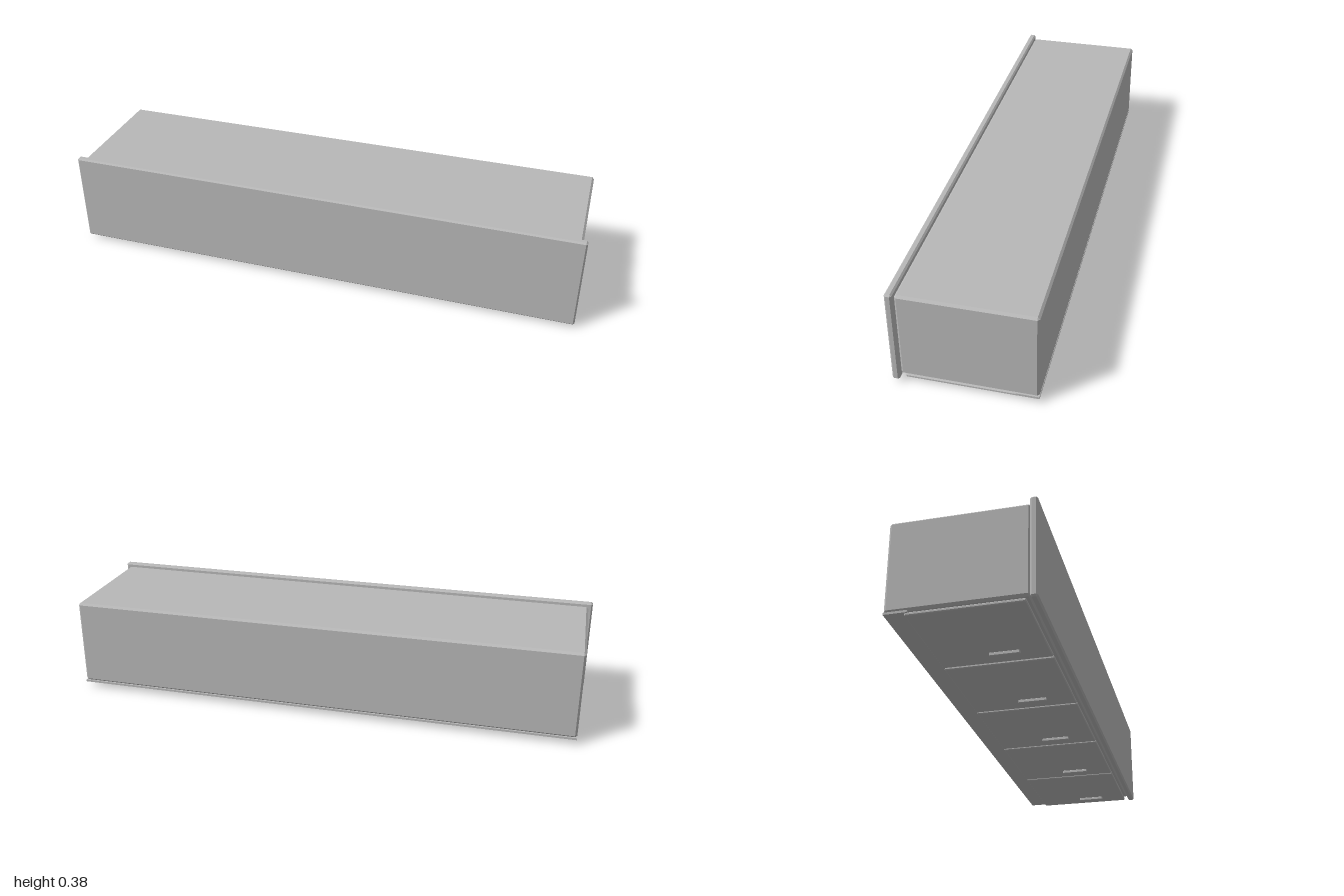
import * as THREE from 'three';
import { ConvexGeometry } from 'three/addons/geometries/ConvexGeometry.js';

const grey = new THREE.MeshStandardMaterial({ color: 0xb8b8b8 });
grey.name = 'grey';

// Box with every edge chamfered by b, given as [min, max] ranges
function chamferBox(name, [x0, x1], [y0, y1], [z0, z1], b) {
  const half = [(x1 - x0) / 2, (y1 - y0) / 2, (z1 - z0) / 2];
  const points = [];
  for (const sx of [-1, 1]) for (const sy of [-1, 1]) for (const sz of [-1, 1]) {
    for (let full = 0; full < 3; full++) {
      const [x, y, z] = half.map((h, axis) => (axis === full ? h : h - b));
      points.push(new THREE.Vector3(sx * x, sy * y, sz * z));
    }
  }
  const mesh = new THREE.Mesh(new ConvexGeometry(points), grey);
  mesh.name = name;
  mesh.position.set((x0 + x1) / 2, (y0 + y1) / 2, (z0 + z1) / 2);
  return mesh;
}

export function createModel() {
  const group = new THREE.Group();
  group.name = 'cabinet';

  // Long cabinet body lying on its door side, with the counter slab facing front
  group.add(chamferBox('body', [-0.984, 0.984], [0.03, 0.367], [-0.25, 0.225], 0.008));
  group.add(chamferBox('countertop', [-1, 1], [0.016, 0.38], [0.225, 0.251], 0.006));

  // Thin plinth strip along the back of the underside
  const plinth = new THREE.Mesh(new THREE.BoxGeometry(1.968, 0.008, 0.08), grey);
  plinth.name = 'plinth';
  plinth.position.set(0, 0.027, -0.21);
  group.add(plinth);

  // Five doors underneath, each with a bar handle
  const pitch = 0.394;
  for (let i = -2; i <= 2; i++) {
    const x = i * pitch;
    group.add(chamferBox('door', [x - 0.191, x + 0.191], [0.014, 0.026], [-0.181, 0.21], 0.003));
    group.add(chamferBox('handle', [x + 0.112, x + 0.124], [0.002, 0.015], [0.005, 0.112], 0.002));
  }

  group.position.y = -0.002;
  const root = new THREE.Group();
  root.add(group);
  return root;
}
